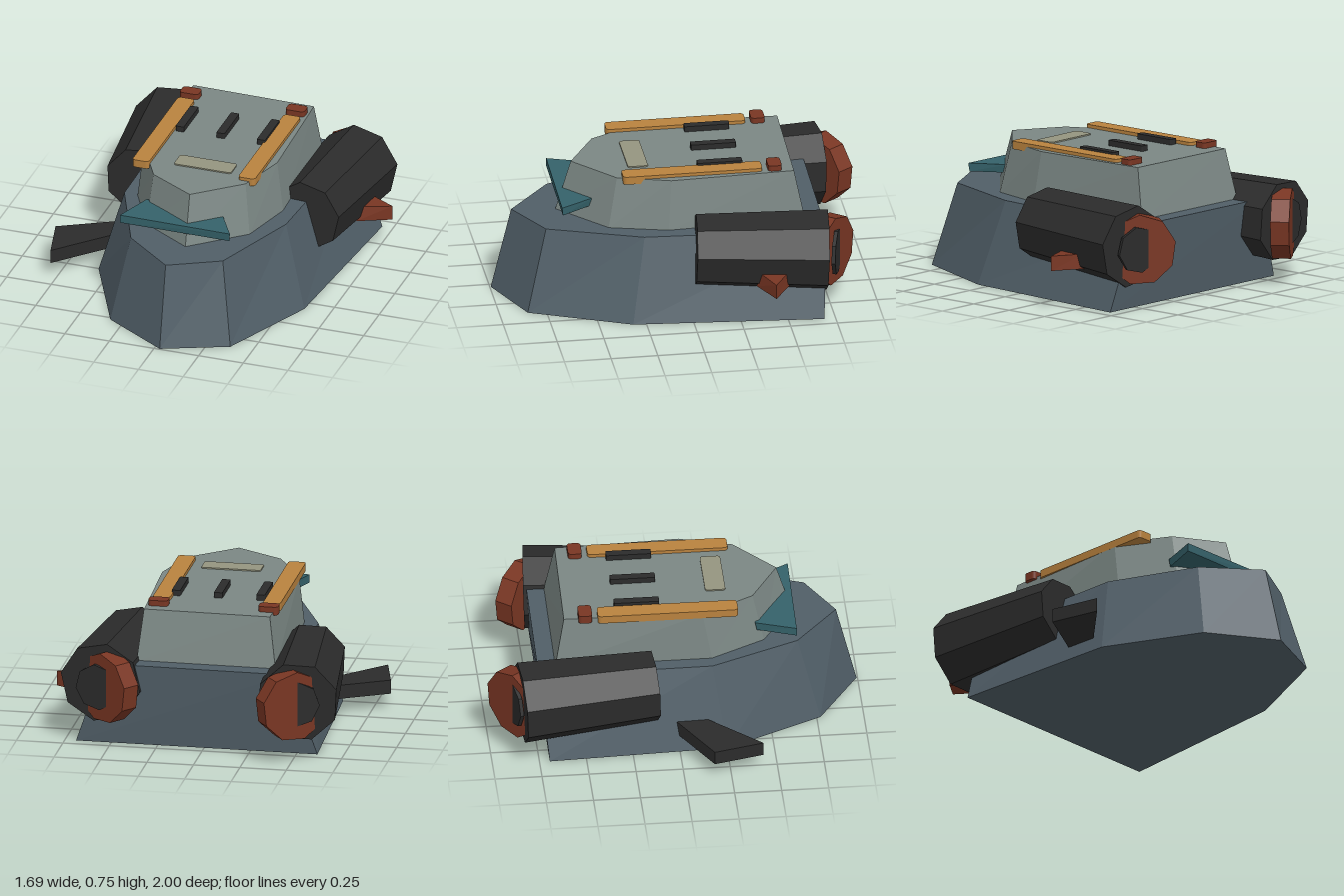
import * as THREE from 'three';

const mat = (name, color) => {
  const m = new THREE.MeshStandardMaterial({ color, flatShading: true });
  m.name = name;
  return m;
};

export function createModel() {
  const group = new THREE.Group();
  const slate = mat('slate', 0x505e67);
  const grey = mat('grey', 0x7b8784);
  const charcoal = mat('charcoal', 0x2b2b2b);
  const rust = mat('rust', 0x793623);
  const amber = mat('amber', 0xb9823e);
  const teal = mat('teal', 0x35626a);
  const sand = mat('sand', 0x95957f);

  const add = (name, geometry, material) => {
    const mesh = new THREE.Mesh(geometry, material);
    mesh.name = name;
    group.add(mesh);
    return mesh;
  };

  // Solid between two convex [x, z] outlines, listed nose, +x side, rear, -x side
  const loft = (low, y0, high, y1) => {
    const n = low.length, pos = [], idx = [];
    low.forEach(([x, z]) => pos.push(x, y0, z));
    high.forEach(([x, z]) => pos.push(x, y1, z));
    for (let i = 0; i < n; i++) {
      const j = (i + 1) % n;
      idx.push(i, j, n + j, i, n + j, n + i);
      if (i > 0 && i < n - 1) idx.push(n, n + i, n + i + 1, 0, i + 1, i);
    }
    const indexed = new THREE.BufferGeometry();
    indexed.setAttribute('position', new THREE.Float32BufferAttribute(pos, 3));
    indexed.setIndex(idx);
    const g = indexed.toNonIndexed();
    g.computeVertexNormals();
    return g;
  };

  // Upright plate with rounded corners
  const plate = (x0, x1, z0, z1, y0, y1, r) => {
    const s = new THREE.Shape();
    s.absarc(x1 - r, -z0 - r, r, 0, Math.PI / 2);
    s.absarc(x0 + r, -z0 - r, r, Math.PI / 2, Math.PI);
    s.absarc(x0 + r, -z1 + r, r, Math.PI, Math.PI * 1.5);
    s.absarc(x1 - r, -z1 + r, r, Math.PI * 1.5, Math.PI * 2);
    const g = new THREE.ExtrudeGeometry(s, { depth: y1 - y0, bevelEnabled: false, curveSegments: 3 });
    return g.rotateX(-Math.PI / 2).translate(0, y0, 0);
  };

  // Faceted drum running from point a to point b
  const drum = (name, a, b, ra, rb, sides, start, material) => {
    const from = new THREE.Vector3(...a), to = new THREE.Vector3(...b);
    const axis = to.clone().sub(from);
    const g = new THREE.CylinderGeometry(rb, ra, axis.length(), sides, 1, false, THREE.MathUtils.degToRad(start));
    const mesh = add(name, g, material);
    mesh.quaternion.setFromUnitVectors(new THREE.Vector3(0, 1, 0), axis.normalize());
    mesh.position.copy(from).add(to).multiplyScalar(0.5);
  };

  // Disc centred on c, turned so its axis points along [nx, nz]
  const disc = (name, c, [nx, nz], r, t, sides, material) => {
    const k = t / 2 / Math.hypot(nx, nz);
    drum(name, [c[0] + nx * k, c[1], c[2] + nz * k], [c[0] - nx * k, c[1], c[2] - nz * k], r, r, sides, 20, material);
  };

  // Hull and cabin
  add('hull', loft(
    [[0.03, 0.995], [0.375, 0.85], [0.605, 0.32], [0.69, -0.69], [-0.61, -0.695], [-0.57, 0.255], [-0.325, 0.77]], 0,
    [[0.025, 0.885], [0.295, 0.74], [0.475, 0.24], [0.535, -0.725], [-0.46, -0.74], [-0.45, 0.185], [-0.25, 0.655]], 0.445), slate);
  add('cabin', loft(
    [[0.055, 0.655], [0.33, 0.41], [0.41, 0.1], [0.375, -0.635], [-0.375, -0.645], [-0.375, 0.19], [-0.225, 0.48]], 0.44,
    [[0.05, 0.57], [0.29, 0.36], [0.37, 0.08], [0.345, -0.58], [-0.335, -0.595], [-0.355, 0.14], [-0.205, 0.42]], 0.715), grey);

  // Wings and fins
  add('noseWing', loft(
    [[-0.315, 0.645], [0.3, 0.65], [0.2, 0.485], [-0.24, 0.44]], 0.52,
    [[-0.315, 0.645], [0.305, 0.655], [0.2, 0.47], [-0.24, 0.43]], 0.565), teal);
  const wing = [[-0.78, 0.425], [-0.48, 0.1], [-0.48, -0.045], [-0.845, 0.16]];
  add('sideWing', loft(wing, 0.085, wing, 0.16), charcoal);
  add('sideFin', loft(
    [[0.67, -0.33], [0.845, -0.41], [0.67, -0.515]], 0.21,
    [[0.69, -0.35], [0.845, -0.41], [0.69, -0.5]], 0.29), rust);

  // Engines with tilted nozzles
  drum('leftEngine', [0.553, 0.34, -0.725], [0.49, 0.36, -0.03], 0.22, 0.195, 8, 95, charcoal);
  disc('leftNozzle', [0.51, 0.325, -0.737], [0.61, -0.79], 0.19, 0.1, 9, rust);
  disc('leftNozzleCore', [0.56, 0.33, -0.775], [0.29, -0.96], 0.125, 0.02, 8, charcoal);
  drum('rightEngine', [-0.53, 0.33, -0.84], [-0.47, 0.355, -0.125], 0.22, 0.19, 8, 120, charcoal);
  disc('rightNozzle', [-0.5, 0.32, -0.855], [-0.59, -0.8], 0.19, 0.1, 9, rust);
  disc('rightNozzleCore', [-0.53, 0.33, -0.88], [-0.29, -0.96], 0.125, 0.02, 8, charcoal);

  // Roof fittings
  for (const [x, side] of [[-0.31, 'right'], [0.283, 'left']]) {
    add(side + 'RoofRail', plate(x - 0.047, x + 0.047, -0.415, 0.33, 0.69, 0.733, 0.02), amber);
    add(side + 'RoofLamp', plate(x - 0.053, x + 0.053, -0.518, -0.445, 0.7, 0.745, 0.02), rust);
  }
  for (const x of [-0.233, -0.005, 0.222]) {
    add('roofVent', plate(x - 0.023, x + 0.023, -0.32, -0.08, 0.705, 0.745, 0.007), charcoal);
  }
  add('roofPanel', plate(-0.14, 0.18, 0.175, 0.283, 0.713, 0.722, 0.015), sand);

  return group;
}
